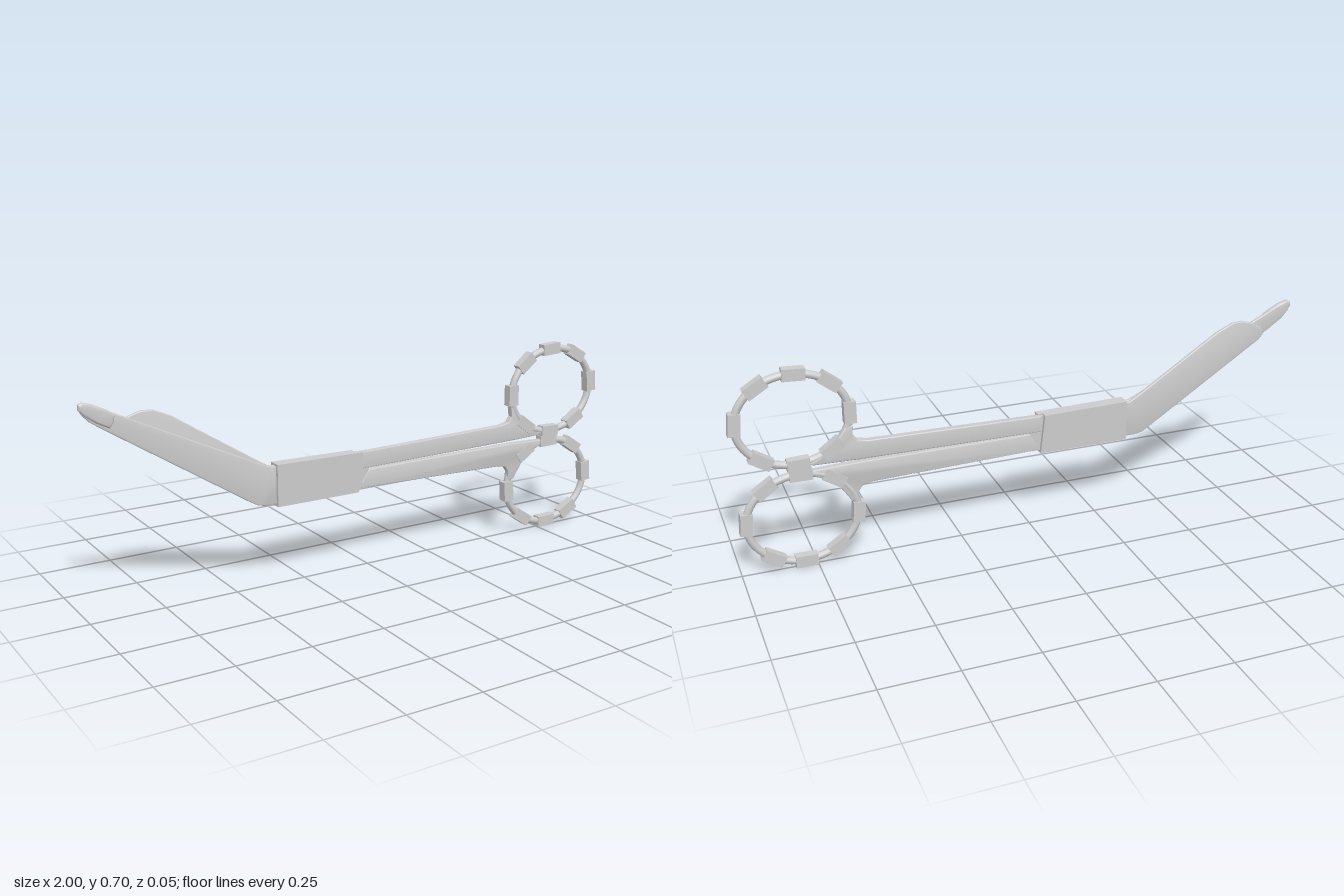
import * as THREE from 'three';
import { toCreasedNormals } from 'three/addons/utils/BufferGeometryUtils.js';

const material = new THREE.MeshStandardMaterial({ color: 0xcccccc });

function add(group, name, geometry) {
  const mesh = new THREE.Mesh(geometry, material);
  mesh.name = name;
  group.add(mesh);
  return mesh;
}

// Flat plate from an outline, filling z0..z1, with softened edges inside the outline
function plate(points, z0, z1, bevel = 0) {
  const shape = new THREE.Shape(points.map(([x, y]) => new THREE.Vector2(x, y)));
  const geometry = new THREE.ExtrudeGeometry(shape, {
    depth: z1 - z0 - 2 * bevel,
    bevelEnabled: bevel > 0,
    bevelThickness: bevel,
    bevelSize: bevel,
    bevelOffset: -bevel,
    bevelSegments: 3,
  });
  geometry.translate(0, 0, z0 + bevel);
  return toCreasedNormals(geometry, 0.6);
}

// Finger ring: oval tube with square grip blocks; each block is an angle in degrees
function fingerRing(name, cx, cy, rx, ry, angles) {
  const ring = new THREE.Group();
  ring.name = name;
  const at = (a) => new THREE.Vector3(cx + rx * Math.cos(a), cy + ry * Math.sin(a), 0);
  const loop = [];
  for (let i = 0; i < 32; i++) loop.push(at((i / 32) * Math.PI * 2));
  const curve = new THREE.CatmullRomCurve3(loop, true);
  add(ring, 'ringTube', new THREE.TubeGeometry(curve, 64, 0.013, 12, true));
  for (const degrees of angles) {
    const a = THREE.MathUtils.degToRad(degrees);
    const block = add(ring, 'gripBlock', new THREE.BoxGeometry(0.074, 0.04, 0.031));
    block.position.copy(at(a));
    block.rotation.z = Math.atan2(ry * Math.cos(a), -rx * Math.sin(a));
  }
  return ring;
}

export function createModel() {
  const model = new THREE.Group();
  model.name = 'bandageScissors';

  // Long front blade with its blunt probe tip
  add(model, 'frontBlade', plate([
    [-0.3, 0.285], [-0.395, 0.285], [-0.42, 0.29], [-0.45, 0.307], [-0.92, 0.61],
    [-0.965, 0.64], [-0.99, 0.668], [-0.985, 0.695], [-0.96, 0.692],
    [-0.88, 0.655], [-0.4, 0.425], [-0.37, 0.413], [-0.3, 0.413],
  ], 0, 0.013, 0.003));
  add(model, 'probeTip', plate([
    [-0.905, 0.615], [-0.945, 0.635], [-0.982, 0.662], [-0.998, 0.68], [-0.998, 0.697],
    [-0.985, 0.703], [-0.955, 0.694], [-0.91, 0.672], [-0.888, 0.655], [-0.893, 0.632],
  ], 0, 0.02, 0.007));

  // Shorter, wider rear blade
  add(model, 'rearBlade', plate([
    [-0.3, 0.285], [-0.395, 0.285], [-0.42, 0.29], [-0.45, 0.307], [-0.87, 0.577],
    [-0.885, 0.595], [-0.875, 0.62], [-0.84, 0.64], [-0.8, 0.652], [-0.76, 0.65],
    [-0.7, 0.623], [-0.4, 0.43], [-0.37, 0.413], [-0.3, 0.413],
  ], -0.013, 0, 0.003));

  // Box joint where the two halves cross
  add(model, 'frontJoint', plate(
    [[-0.355, 0.277], [-0.05, 0.277], [-0.035, 0.3], [-0.03, 0.415], [-0.355, 0.42]], 0, 0.024));
  add(model, 'rearJoint', plate(
    [[-0.355, 0.277], [-0.035, 0.277], [-0.05, 0.415], [-0.355, 0.42]], -0.022, 0));
  add(model, 'jointCore', plate(
    [[-0.1, 0.285], [-0.01, 0.285], [0.0, 0.35], [-0.01, 0.41], [-0.1, 0.41]], -0.01, 0.008));

  // Handles, each flaring into its ring
  add(model, 'upperHandle', plate([
    [-0.04, 0.353], [0.6, 0.36], [0.74, 0.364], [0.76, 0.37], [0.72, 0.388],
    [0.67, 0.425], [0.635, 0.475], [0.605, 0.485], [0.61, 0.45], [0.595, 0.43],
    [0.56, 0.423], [-0.04, 0.411],
  ], -0.013, 0.011, 0.004));
  add(model, 'lowerHandle', plate([
    [-0.04, 0.286], [0.55, 0.272], [0.585, 0.265], [0.6, 0.245], [0.6, 0.21],
    [0.625, 0.215], [0.66, 0.27], [0.71, 0.31], [0.77, 0.335], [0.75, 0.345],
    [0.6, 0.35], [0, 0.349],
  ], -0.011, 0.013, 0.004));

  // Finger rings
  model.add(fingerRing('upperRing', 0.795, 0.528, 0.182, 0.154,
    [5, 54, 94, 133, 180, 229, 268, 307]));
  model.add(fingerRing('lowerRing', 0.787, 0.181, 0.184, 0.157,
    [4, 52, 91, 127, 184, 232, 270, 305]));
  return model;
}
